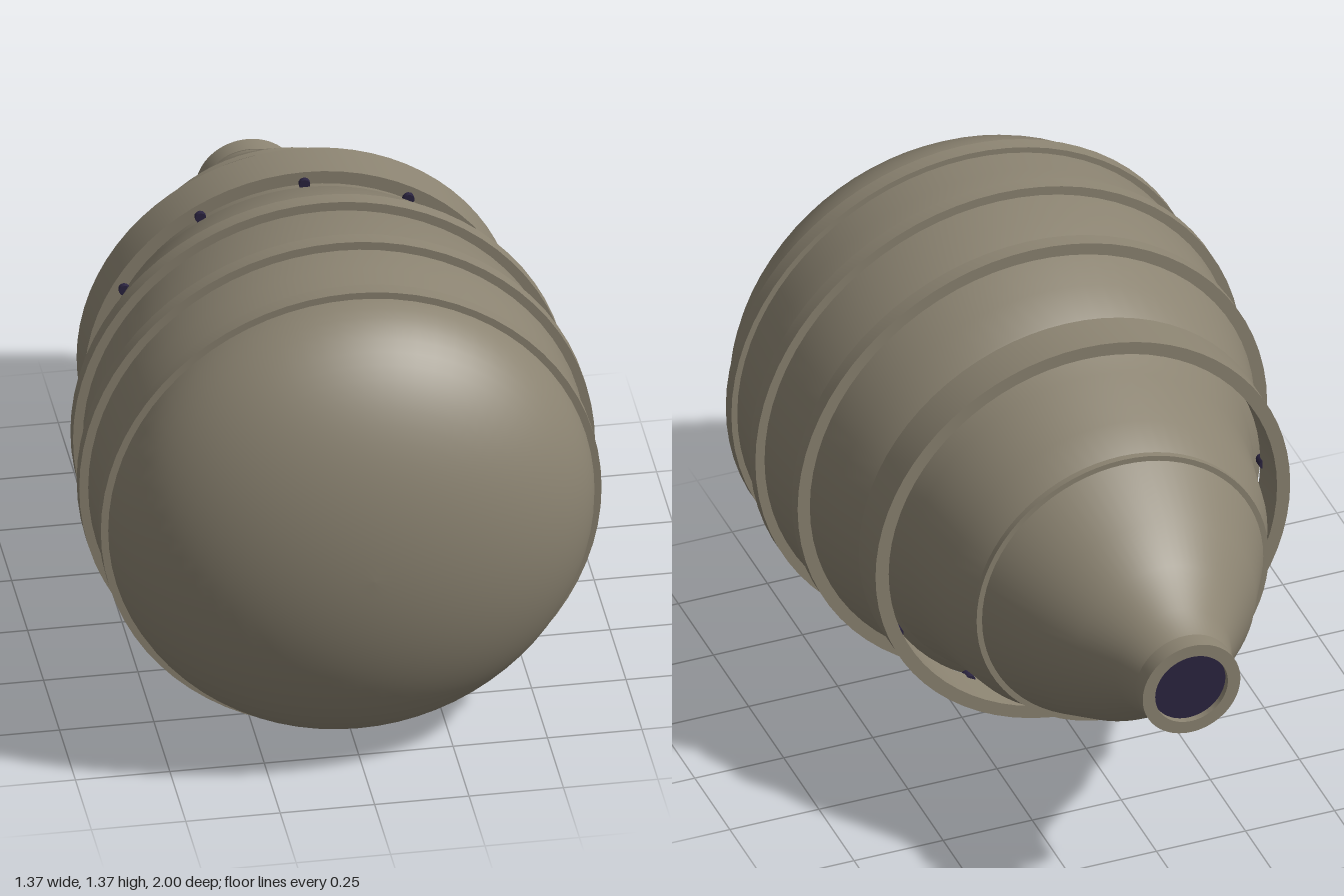
import * as THREE from 'three';
import { toCreasedNormals } from 'three/addons/utils/BufferGeometryUtils.js';

const CENTRE_Y = 0.685;
const SEGMENTS = 72;

// Revolve [radius, z] points (listed back to front) around the z axis
function revolve(points) {
  const profile = points.map(([r, z]) => new THREE.Vector2(r, z));
  return new THREE.LatheGeometry(profile, SEGMENTS).rotateX(Math.PI / 2);
}

// Closed ring with a rectangular section and sharp edges
function ringGeometry(inner, outer, z0, z1) {
  const g = revolve([[inner, z0], [outer, z0], [outer, z1], [inner, z1], [inner, z0]]);
  return toCreasedNormals(g, 0.6);
}

export function createModel() {
  const model = new THREE.Group();
  model.name = 'bandedPod';
  const hull = new THREE.MeshStandardMaterial({ color: 0x8b8371 });
  hull.name = 'warm grey metal';
  const dark = new THREE.MeshStandardMaterial({ color: 0x2b2440 });
  dark.name = 'dark violet';

  const assembly = new THREE.Group();
  assembly.name = 'pod';
  assembly.position.y = CENTRE_Y;
  model.add(assembly);

  const add = (name, geometry, material) => {
    const mesh = new THREE.Mesh(geometry, material);
    mesh.name = name;
    assembly.add(mesh);
    return mesh;
  };

  // Tapered tail cone
  add('tailCone', revolve([
    [0.133, -0.955], [0.163, -0.87], [0.235, -0.77], [0.31, -0.67],
    [0.4, -0.5], [0.45, -0.4], [0.485, -0.225], [0.525, -0.11],
  ]), hull);

  // Main body, bulging towards the front
  add('mainBody', revolve([
    [0.525, -0.11], [0.56, -0.07], [0.595, 0.03], [0.63, 0.15],
    [0.648, 0.28], [0.66, 0.4], [0.655, 0.5], [0.645, 0.61],
  ]), hull);

  // Rounded nose dome
  const dome = [];
  for (let i = 0; i <= 20; i++) {
    const a = (i / 20) * Math.PI / 2;
    dome.push([0.645 * Math.cos(a), 0.61 + 0.39 * Math.sin(a)]);
  }
  dome[20][0] = 0;
  add('noseDome', revolve(dome), hull);

  // Raised bands: inner radius, outer radius, back z, front z
  [
    [0.63, 0.663, 0.593, 0.633],
    [0.64, 0.683, 0.372, 0.413],
    [0.61, 0.659, 0.132, 0.173],
    [0.38, 0.41, -0.51, -0.492],
  ].forEach((b, i) => add('band' + (i + 1), ringGeometry(...b), hull));

  // Free-standing collar around the joint
  add('collar', ringGeometry(0.545, 0.582, -0.227, -0.108), hull);

  // Small studs fixing the collar to the body
  const stud = new THREE.CylinderGeometry(0.015, 0.015, 0.03, 10).rotateX(Math.PI / 2);
  for (let i = 0; i < 12; i++) {
    const a = (i / 12) * Math.PI * 2;
    add('stud' + (i + 1), stud, dark)
      .position.set(0.551 * Math.cos(a), 0.551 * Math.sin(a), -0.109);
  }

  // Tail rim with the dark outlet inside it
  add('tailRim', ringGeometry(0.102, 0.137, -1, -0.95), hull);
  add('outlet', new THREE.CylinderGeometry(0.103, 0.103, 0.02, 40).rotateX(Math.PI / 2), dark)
    .position.z = -0.972;

  return model;
}
